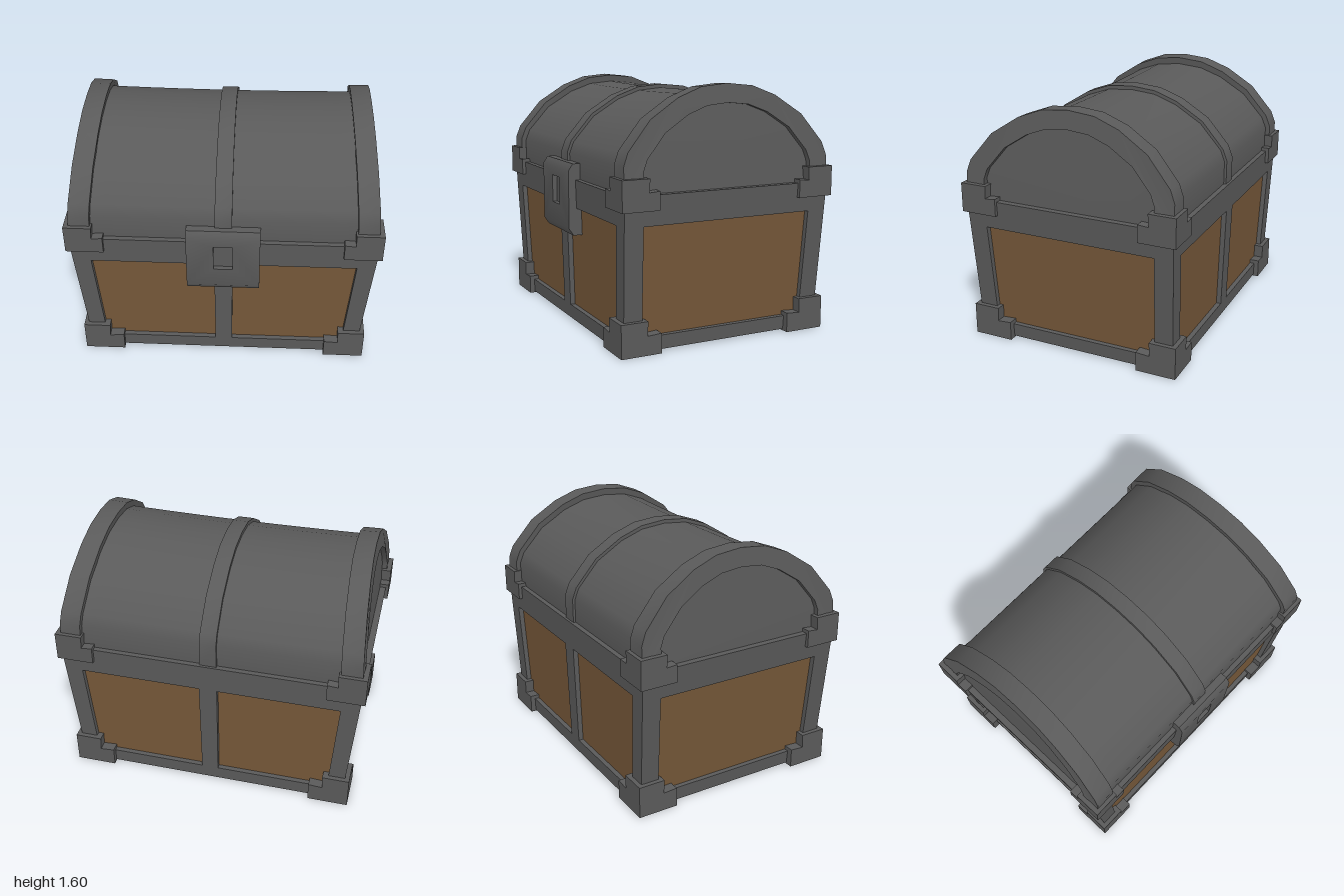
import * as THREE from 'three';
import { toCreasedNormals } from 'three/addons/utils/BufferGeometryUtils.js';

const metal = new THREE.MeshStandardMaterial({ color: 0x5a5a5a });
const wood = new THREE.MeshStandardMaterial({ color: 0x765839 });

const vecs = (pts) => pts.map(([x, y]) => new THREE.Vector2(x, y));
const rect = (x0, x1, y0, y1) => [[x0, y0], [x1, y0], [x1, y1], [x0, y1]];

function extrude(outline, holes, depth, steps = 1) {
  const shape = new THREE.Shape(vecs(outline));
  for (const h of holes) shape.holes.push(new THREE.Path(vecs(h)));
  return new THREE.ExtrudeGeometry(shape, { depth, steps, bevelEnabled: false });
}

// Move every vertex by a rule
function warp(geo, rule) {
  const p = geo.attributes.position;
  const v = new THREE.Vector3();
  for (let i = 0; i < p.count; i++) {
    rule(v.fromBufferAttribute(p, i));
    p.setXYZ(i, v.x, v.y, v.z);
  }
  return geo;
}

function add(parent, name, geo, material = metal) {
  const mesh = new THREE.Mesh(toCreasedNormals(geo, 0.7), material);
  mesh.name = name;
  parent.add(mesh);
  return mesh;
}

// The chest body widens towards the top
const taper = (v) => {
  v.x *= 1 + 0.0933 * v.y;
  v.z *= 1 + 0.0382 * v.y;
};

// Lid ends lean inwards and the barrel sags slightly in the middle
const lidCurve = (v) => {
  const t = Math.max(0, (v.y - 0.97) / 0.63);
  const u = v.x / 0.95;
  v.y -= 0.017 * t * (1 - u * u);
  v.x -= 0.055 * Math.pow(t, 1.4) * u;
};

// Faceted arch outline, scaled about the lid seam
function arch(sz, sy) {
  const half = [[0.7025, 0.97], [0.7025, 1.14], [0.6725, 1.22], [0.522, 1.4], [0.335, 1.52], [0.175, 1.58]];
  const all = [...half, [0, 1.597], ...half.map(([z, y]) => [-z, y]).reverse()];
  return all.map(([z, y]) => [z * sz, 0.97 + (y - 0.97) * sy]);
}

// Extrude a z-y outline along x between x0 and x1, then bend it with the lid
function lidPart(outline, x0, x1, steps) {
  const geo = extrude(outline, [], x1 - x0, steps).rotateY(Math.PI / 2).translate(x0, 0, 0);
  return warp(geo, lidCurve);
}

// Stepped corner guard made of two plates meeting at a right angle
function cornerGuard(name, ox, oz, y0, height, reach) {
  const group = new THREE.Group();
  group.name = name;
  const t = 0.07;
  const step = [[0, 0], [reach, 0], [reach, height * 0.6], [0.172, height * 0.57], [0.177, height], [0, height]];
  const plate = (outer) => extrude(step.map(([u, y]) => [outer - u, y0 + y]), [], t);
  add(group, 'guardFrontPlate', plate(ox).translate(0, 0, oz - t));
  add(group, 'guardSidePlate', plate(oz).rotateY(-Math.PI / 2).translate(ox, 0, 0));
  return group;
}

export function createModel() {
  const root = new THREE.Group();
  root.name = 'chest';
  const chest = new THREE.Group();
  chest.name = 'chestParts';
  chest.position.z = -0.0125;
  root.add(chest);

  // Wooden core showing as recessed panels
  const core = new THREE.BoxGeometry(1.736, 0.93, 1.296).translate(0, 0.485, 0);
  add(chest, 'woodPanels', warp(core, taper), wood);

  // Metal frame around the panels
  const t = 0.04;
  for (const s of [1, -1]) {
    const turn = s > 0 ? 0 : Math.PI;
    const long = extrude(rect(-0.9, 0.9, 0.01, 0.97),
      [rect(-0.792, -0.055, 0.1, 0.785), rect(0.055, 0.792, 0.1, 0.785)], t);
    long.translate(0, 0, 0.68 - t).rotateY(turn);
    add(chest, s > 0 ? 'frontFrame' : 'backFrame', warp(long, taper));

    const side = extrude(rect(-0.66, 0.66, 0.01, 0.97), [rect(-0.56, 0.56, 0.1, 0.785)], t);
    side.translate(0, 0, 0.9 - t).rotateY(Math.PI / 2 + turn);
    add(chest, s > 0 ? 'leftFrame' : 'rightFrame', warp(side, taper));
  }

  // Barrel lid with a central strap
  add(chest, 'lidBarrel', lidPart(arch(0.957, 0.925), -0.94, 0.94, 10));
  add(chest, 'lidStrap', lidPart(arch(0.98, 0.965), -0.055, 0.055, 1));

  // Raised arch bands at both lid ends
  const band = [...arch(1, 1), ...arch(0.82, 0.816).reverse()];
  add(chest, 'leftLidBand', lidPart(band, 0.84, 0.975, 2));
  add(chest, 'rightLidBand', lidPart(band, -0.975, -0.84, 2));

  // Corner guards at the base and at the lid seam
  for (const sx of [1, -1]) {
    for (const sz of [1, -1]) {
      const guards = [
        cornerGuard('baseCornerGuard', 0.947, 0.715, 0, 0.21, 0.265),
        cornerGuard('lidCornerGuard', 1, 0.7275, 0.88, 0.19, 0.242),
      ];
      for (const g of guards) {
        g.scale.set(sx, 1, sz);
        chest.add(g);
      }
    }
  }

  // Lock: back plate and a bevelled face with a keyhole recess
  const lock = new THREE.Group();
  lock.name = 'lock';
  root.add(lock);
  add(lock, 'lockBackPlate', new THREE.BoxGeometry(0.465, 0.465, 0.06).translate(0, 0.842, 0.68));
  const face = extrude(rect(-0.2325, 0.2325, 0.61, 1.075), [rect(-0.06, 0.06, 0.79, 0.97)], 0.03);
  warp(face, (v) => {
    if (v.z > 0.02) v.y = THREE.MathUtils.clamp(v.y, 0.655, 1.03);
  });
  add(lock, 'lockFace', face.translate(0, 0, 0.71));
  return root;
}
